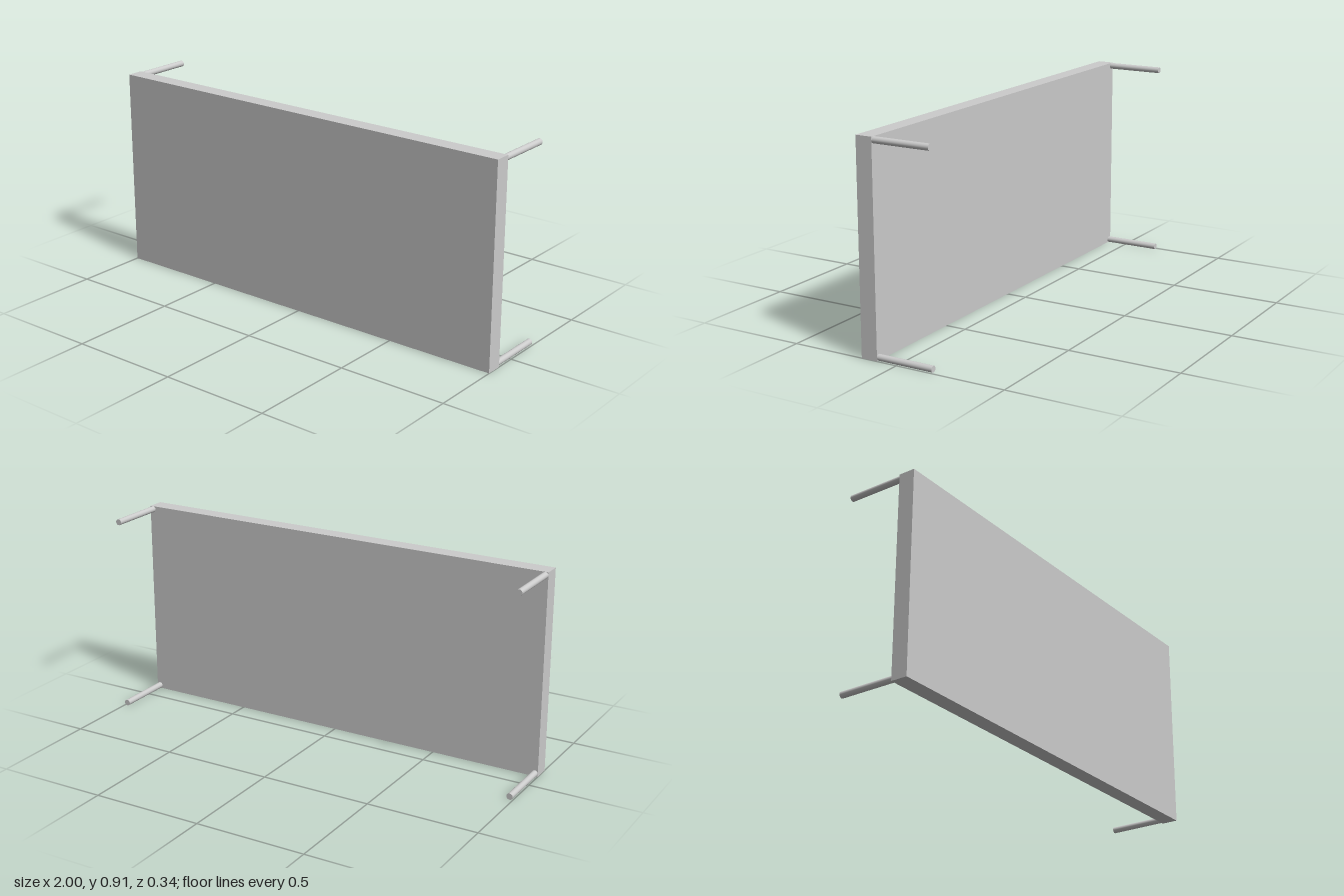
import * as THREE from 'three';

export function createModel() {
  const model = new THREE.Group();
  model.name = 'table';
  const material = new THREE.MeshStandardMaterial({ color: 0xcccccc });

  const width = 2, height = 0.914, depth = 0.336;
  const thickness = 0.075, legRadius = 0.014;
  const legLength = depth - thickness;

  // Flat slab standing upright, facing +z
  const top = new THREE.Mesh(new THREE.BoxGeometry(width, height, thickness), material);
  top.name = 'tableTop';
  top.position.set(0, height / 2, depth / 2 - thickness / 2);
  model.add(top);

  // Round legs flush with the four corners, pointing back
  const legGeometry = new THREE.CylinderGeometry(legRadius, legRadius, legLength, 32);
  legGeometry.rotateX(Math.PI / 2);
  for (const [side, x] of [['left', 1], ['right', -1]]) {
    for (const [level, y] of [['Lower', legRadius], ['Upper', height - legRadius]]) {
      const leg = new THREE.Mesh(legGeometry, material);
      leg.name = `${side}${level}Leg`;
      leg.position.set(x * (width / 2 - legRadius), y, -depth / 2 + legLength / 2);
      model.add(leg);
    }
  }
  return model;
}
